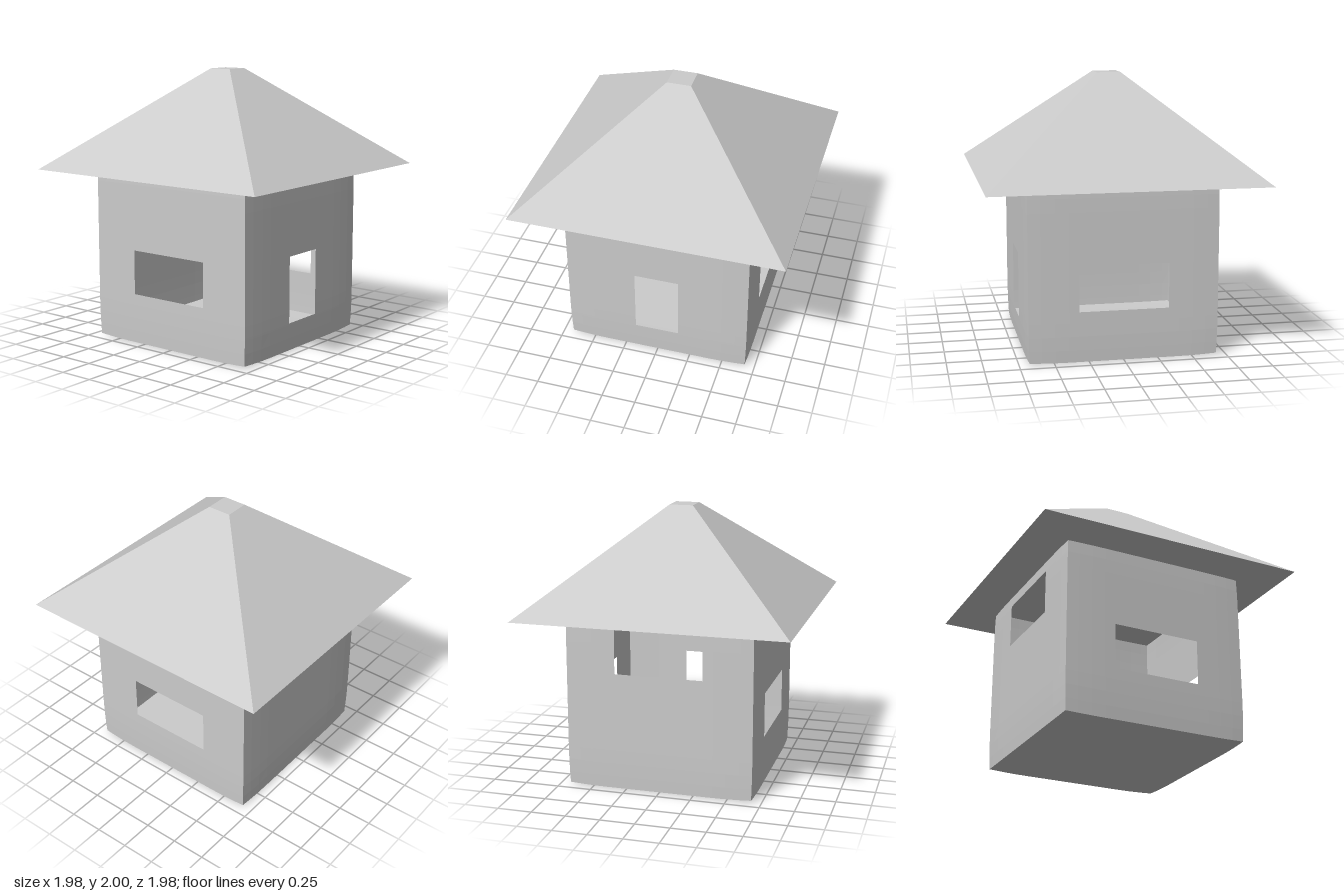
import * as THREE from 'three';

const HALF = 0.69;      // half side of the cube-shaped room
const THICK = 0.04;     // wall thickness
const material = new THREE.MeshStandardMaterial({ color: 0xcccccc, flatShading: true });

// Slight pillow bulge: faces sink a little towards the cube's edges
const ease = (t) => Math.pow(Math.max(0, (Math.abs(t) - 0.4) / (HALF - 0.4)), 2);
function bulge(u, v, w) {
  const [a, b, c] = [u, v, w].map(ease);
  return [u * (1 - 0.01 * (b + c)), v * (1 - 0.01 * (a + c)), w * (1 - 0.01 * (a + b))];
}

// One side of the room, facing +z and centred on the cube, with an optional
// rectangular opening { u0, u1, v0, v1 }
function panelGeometry(hole) {
  const lines = (extra) =>
    [...new Set([-HALF, -0.6, -0.5, -0.4, 0.4, 0.5, 0.6, HALF, ...extra])].sort((a, b) => a - b);
  const us = lines(hole ? [hole.u0, hole.u1] : []);
  const vs = lines(hole ? [hole.v0, hole.v1] : []);
  const positions = [];
  const quad = (a, b, c, d) => {
    for (const p of [a, b, c, a, c, d]) positions.push(...bulge(...p));
  };
  const inner = HALF - THICK;
  const clamp = (t) => THREE.MathUtils.clamp(t, -inner, inner);
  const out = (u, v) => [u, v, HALF];
  const ins = (u, v) => [clamp(u), clamp(v), inner];

  for (let i = 0; i < us.length - 1; i++) {
    for (let j = 0; j < vs.length - 1; j++) {
      const [u0, u1, v0, v1] = [us[i], us[i + 1], vs[j], vs[j + 1]];
      const um = (u0 + u1) / 2, vm = (v0 + v1) / 2;
      if (hole && um > hole.u0 && um < hole.u1 && vm > hole.v0 && vm < hole.v1) continue;
      quad(out(u0, v0), out(u1, v0), out(u1, v1), out(u0, v1));
      quad(ins(u1, v0), ins(u0, v0), ins(u0, v1), ins(u1, v1));
    }
  }
  // Reveals around the opening
  if (hole) {
    const { u0, u1, v0, v1 } = hole;
    const ring = [[u0, v0], [u1, v0], [u1, v1], [u0, v1]];
    ring.forEach((p, k) => {
      const q = ring[(k + 1) % 4];
      quad(out(...q), out(...p), ins(...p), ins(...q));
    });
  }
  const geometry = new THREE.BufferGeometry();
  geometry.setAttribute('position', new THREE.Float32BufferAttribute(positions, 3));
  geometry.computeVertexNormals();
  return geometry;
}

// Opening from its half width and its heights above the ground
const opening = (halfWidth, bottom, top) =>
  ({ u0: -halfWidth, u1: halfWidth, v0: bottom - HALF, v1: top - HALF });

export function createModel() {
  const model = new THREE.Group();
  model.name = 'hut';

  // Room: four walls and a floor
  const room = new THREE.Group();
  room.name = 'room';
  room.position.y = HALF;
  const sides = [
    ['frontWall', opening(0.325, 0.37, 0.7), 0, 0],
    ['doorWall', opening(0.167, 0.205, 0.7), 0, Math.PI / 2],
    ['backWall', opening(0.325, 0.37, 0.7), 0, Math.PI],
    ['highWindowWall', opening(0.325, 0.87, 1.2), 0, -Math.PI / 2],
    ['floor', null, Math.PI / 2, 0],
  ];
  for (const [name, hole, rx, ry] of sides) {
    const side = new THREE.Mesh(panelGeometry(hole), material);
    side.name = name;
    side.rotation.set(rx, ry, 0);
    room.add(side);
  }
  model.add(room);

  // Roof: square pyramid with a cut-off tip
  const roof = new THREE.Mesh(
    new THREE.CylinderGeometry(0.088 * Math.SQRT2, 0.99 * Math.SQRT2, 0.73, 4, 1, false, Math.PI / 4),
    material
  );
  roof.name = 'roof';
  roof.position.y = 1.27 + 0.73 / 2;
  model.add(roof);

  return model;
}
